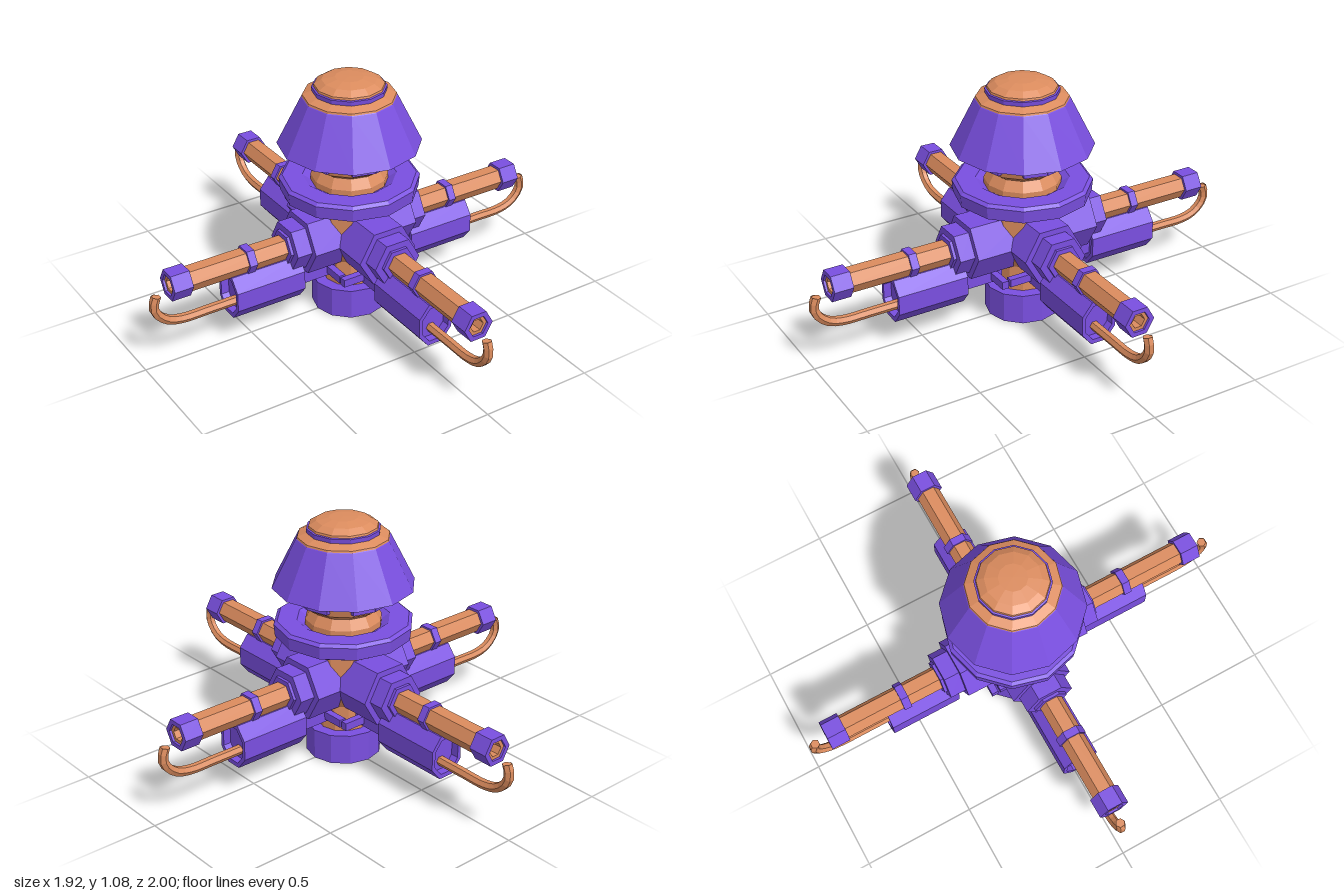
import * as THREE from 'three';

const material = (color) => new THREE.MeshStandardMaterial({ color, flatShading: true, side: THREE.DoubleSide });

export function createModel() {
  const model = new THREE.Group();
  const purple = material(0x7a4fe0), copper = material(0xdc8c5e);

  const add = (parent, name, geometry, mat) => {
    const mesh = new THREE.Mesh(geometry, mat);
    mesh.name = name;
    parent.add(mesh);
    return mesh;
  };
  const lathe = (name, points, mat) => add(model, name,
    new THREE.LatheGeometry(points.map(([r, y]) => new THREE.Vector2(r, y)), 12), mat);

  // Outline of a hexagon with corners at the sides
  const hexPoints = (r) => Array.from({ length: 6 }, (_, i) =>
    new THREE.Vector2(r * Math.cos(i * Math.PI / 3), r * Math.sin(i * Math.PI / 3)));
  // Extrude an outline along z, with an optional hole
  const prism = (outline, z0, z1, hole) => {
    const shape = new THREE.Shape(outline);
    if (hole) shape.holes.push(new THREE.Path(hole));
    return new THREE.ExtrudeGeometry(shape, { depth: z1 - z0, bevelEnabled: false }).translate(0, 0, z0);
  };

  // Central body, bottom to top
  lathe('baseSocket', [[0.14, 0.135], [0.14, 0], [0.165, 0], [0.165, 0.135], [0.11, 0.135]], purple);
  lathe('column', [[0, 0.1], [0.115, 0.1], [0.115, 0.25], [0.165, 0.33], [0.165, 0.57]], copper);
  lathe('collarRing', [[0.15, 0.545], [0.265, 0.545], [0.295, 0.56], [0.3, 0.615], [0.285, 0.627],
    [0.2, 0.627], [0.16, 0.6]], purple);
  lathe('neck', [[0.165, 0.56], [0.165, 0.63], [0.135, 0.68]], copper);
  lathe('head', [[0.135, 0.67], [0.175, 0.698], [0.187, 0.74], [0.187, 0.82]], copper);
  lathe('hood', [[0.18, 0.82], [0.285, 0.785], [0.305, 0.78], [0.2, 0.99], [0.19, 1.0]], purple);
  lathe('hoodTop', [[0.2, 0.985], [0.195, 1.0], [0.15, 1.018]], copper);
  lathe('capRing', [[0.155, 1.01], [0.157, 1.035], [0.14, 1.04]], purple);
  lathe('capDome', [[0.15, 1.035], [0.147, 1.046], [0.115, 1.066], [0.06, 1.077], [0, 1.078]], copper);

  // Viewing slots in pairs around the head
  for (let i = 0; i < 12; i++) {
    if (i % 3 === 1) continue;
    const rect = (w, y0, y1) => [[-w, y0], [w, y0], [w, y1], [-w, y1]].map((p) => new THREE.Vector2(...p));
    const frame = add(model, 'slotFrame', prism(rect(0.05, 0.715, 0.79), 0.17, 0.195, rect(0.03, 0.74, 0.768)), purple);
    frame.rotation.y = (i + 0.5) * Math.PI / 6;
  }

  // One gun arm pointing along +z; offset is how far it is pushed outwards
  const makeArm = (offset) => {
    const arm = new THREE.Group();
    arm.name = 'gunArm';
    const barrel = new THREE.Group();
    barrel.name = 'barrelAssembly';
    barrel.position.set(0, 0.37, offset);
    arm.add(barrel);
    add(barrel, 'hub', prism(hexPoints(0.139), -offset, 0.255), purple);
    add(barrel, 'hubStep', prism(hexPoints(0.11), 0.25, 0.325), purple);
    add(barrel, 'hubCollar', prism(hexPoints(0.077), 0.32, 0.338), purple);
    add(barrel, 'barrel', prism(hexPoints(0.054), 0.33, 0.865, hexPoints(0.03)), copper);
    add(barrel, 'barrelBand', prism(hexPoints(0.064), 0.49, 0.525), purple);
    add(barrel, 'muzzle', prism(hexPoints(0.068), 0.79, 0.875, hexPoints(0.046)), purple);

    // Tank below the barrel with a recessed open end
    const tank = new THREE.Group();
    tank.name = 'tankAssembly';
    tank.position.set(0, 0.228, offset);
    arm.add(tank);
    const outline = (s) => [[-0.035, -0.098], [0.035, -0.098], [0.08, -0.042], [0.08, 0.042],
      [0.035, 0.098], [-0.035, 0.098], [-0.08, 0.042], [-0.08, -0.042]]
      .map(([x, y]) => new THREE.Vector2(x * s, y * s));
    add(tank, 'tankShell', prism(outline(1), 0.275, 0.6, outline(0.8)), purple);
    add(tank, 'tankCore', prism(outline(0.82), 0.28, 0.565), purple);
    add(tank, 'tankMount', new THREE.BoxGeometry(0.09, 0.065, 0.2).translate(0, -0.008, 0.19), purple);
    add(tank, 'mountBracket', new THREE.BoxGeometry(0.29, 0.035, 0.03).translate(0, -0.01, 0.13), purple);

    // Fuel pipe that curls up in front of the muzzle
    const path = new THREE.CatmullRomCurve3([[0.19, 0.55], [0.19, 0.7], [0.191, 0.82], [0.209, 0.885],
      [0.25, 0.93], [0.29, 0.943], [0.335, 0.93]].map(([y, z]) => new THREE.Vector3(0, y, z + offset)));
    add(arm, 'fuelPipe', new THREE.TubeGeometry(path, 16, 0.021, 6), copper);
    add(arm, 'pipeTip', new THREE.CircleGeometry(0.021, 6).rotateX(-Math.PI / 2)
      .translate(0, 0.333, 0.93 + offset), copper);
    return arm;
  };
  for (let i = 0; i < 4; i++) {
    const arm = makeArm(i % 2 ? 0 : 0.04);
    arm.rotation.y = i * Math.PI / 2;
    model.add(arm);
  }
  return model;
}
